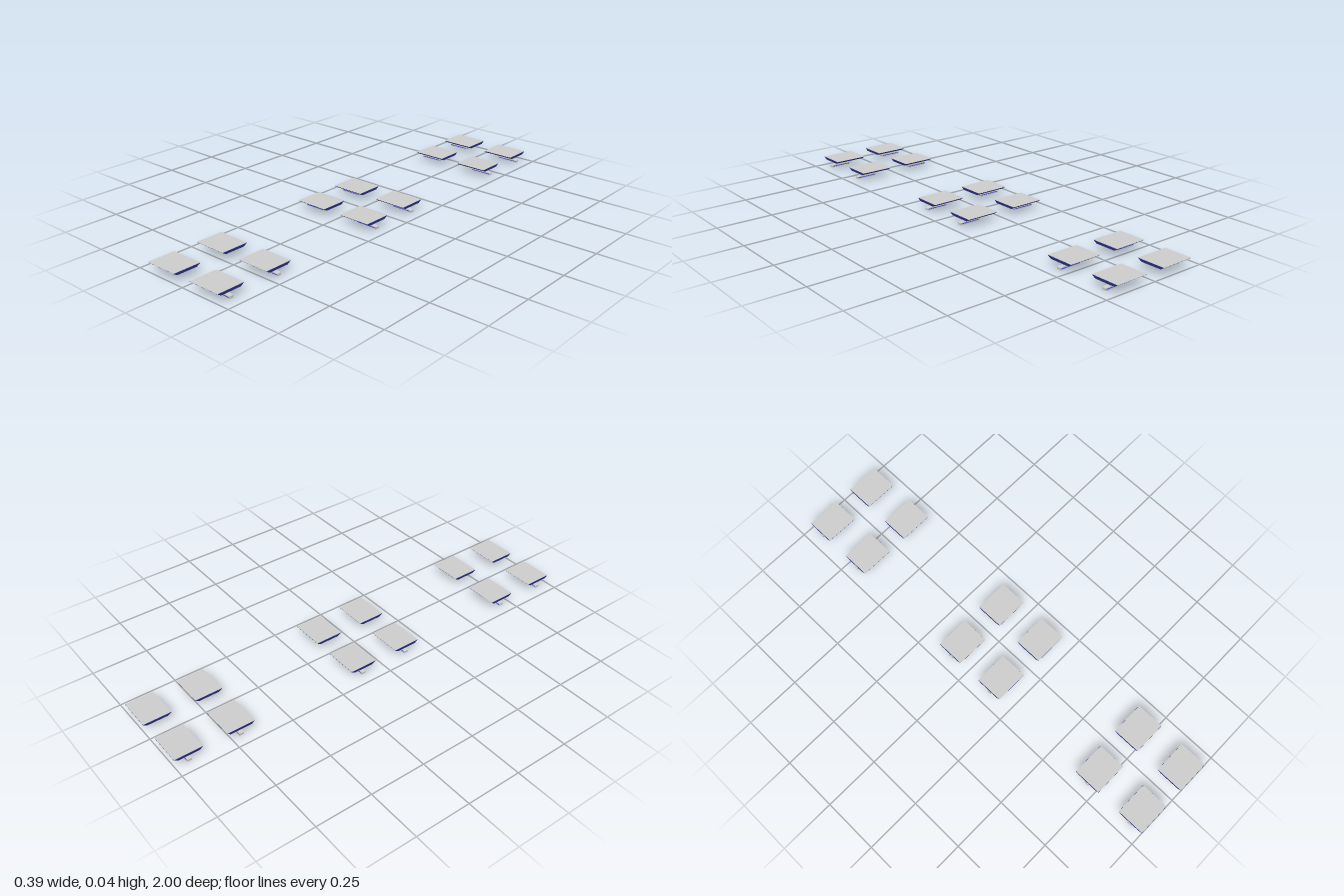
import * as THREE from 'three';

const grey = new THREE.MeshStandardMaterial({ color: 0xcccccc, flatShading: true });
const navy = new THREE.MeshStandardMaterial({ color: 0x252c80, flatShading: true });
const blue = new THREE.MeshStandardMaterial({ color: 0x4450dd, flatShading: true });

// Prism from an outline, centred along its depth
function prism(name, points, depth, material) {
  const shape = new THREE.Shape(points.map(([x, y]) => new THREE.Vector2(x, y)));
  const geometry = new THREE.ExtrudeGeometry(shape, { depth, bevelEnabled: false });
  geometry.translate(0, 0, -depth / 2);
  const mesh = new THREE.Mesh(geometry, material);
  mesh.name = name;
  return mesh;
}

// Slab layer: cross-section in z/y that narrows downwards, run along x
function slabLayer(name, top, bottom, length, material) {
  const [ht, yt] = top, [hb, yb] = bottom;
  const mesh = prism(name, [[-hb, yb], [hb, yb], [ht, yt], [-ht, yt]], length, material);
  mesh.rotation.y = Math.PI / 2;
  return mesh;
}

function createPad(side) {
  const pad = new THREE.Group();
  pad.name = side > 0 ? 'leftPad' : 'rightPad';
  const mirror = (pts) => pts.map(([x, y]) => [x * side, y]);

  // Tapered slab: grey top and bottom faces with a dark edge between
  const slab = new THREE.Group();
  slab.name = 'slab';
  slab.add(
    slabLayer('topPlate', [0.0625, 0.042], [0.0625, 0.0402], 0.151, grey),
    slabLayer('slabEdge', [0.063, 0.0402], [0.047, 0.03], 0.152, navy),
    slabLayer('bottomPlate', [0.047, 0.03], [0.044, 0.028], 0.151, grey)
  );
  slab.position.x = 0.121 * side;
  pad.add(slab);

  // Bracket under the slab, with a slanted inner side and an outward foot
  pad.add(prism('bracket', mirror([
    [0.095, 0.012], [0.176, 0.012], [0.176, 0.0285], [0.068, 0.0285], [0.088, 0.013]
  ]), 0.026, grey));
  pad.add(prism('foot', mirror([
    [0.103, 0], [0.197, 0], [0.197, 0.01], [0.176, 0.014], [0.086, 0.014]
  ]), 0.02, grey));

  // Coloured bands along both faces of the bracket
  pad.add(prism('upperBand', mirror([
    [0.088, 0.019], [0.172, 0.019], [0.172, 0.024], [0.081, 0.024]
  ]), 0.027, blue));
  pad.add(prism('lowerBand', mirror([
    [0.102, 0.005], [0.195, 0.005], [0.195, 0.0085], [0.097, 0.0085]
  ]), 0.021, blue));
  return pad;
}

export function createModel() {
  const model = new THREE.Group();
  model.name = 'supportPads';
  // Three groups of two rows, each row a mirrored pair
  for (const z of [-0.937, -0.705, -0.102, 0.131, 0.7, 0.937]) {
    const row = new THREE.Group();
    row.name = 'padRow';
    row.add(createPad(1), createPad(-1));
    row.position.z = z;
    model.add(row);
  }
  return model;
}
